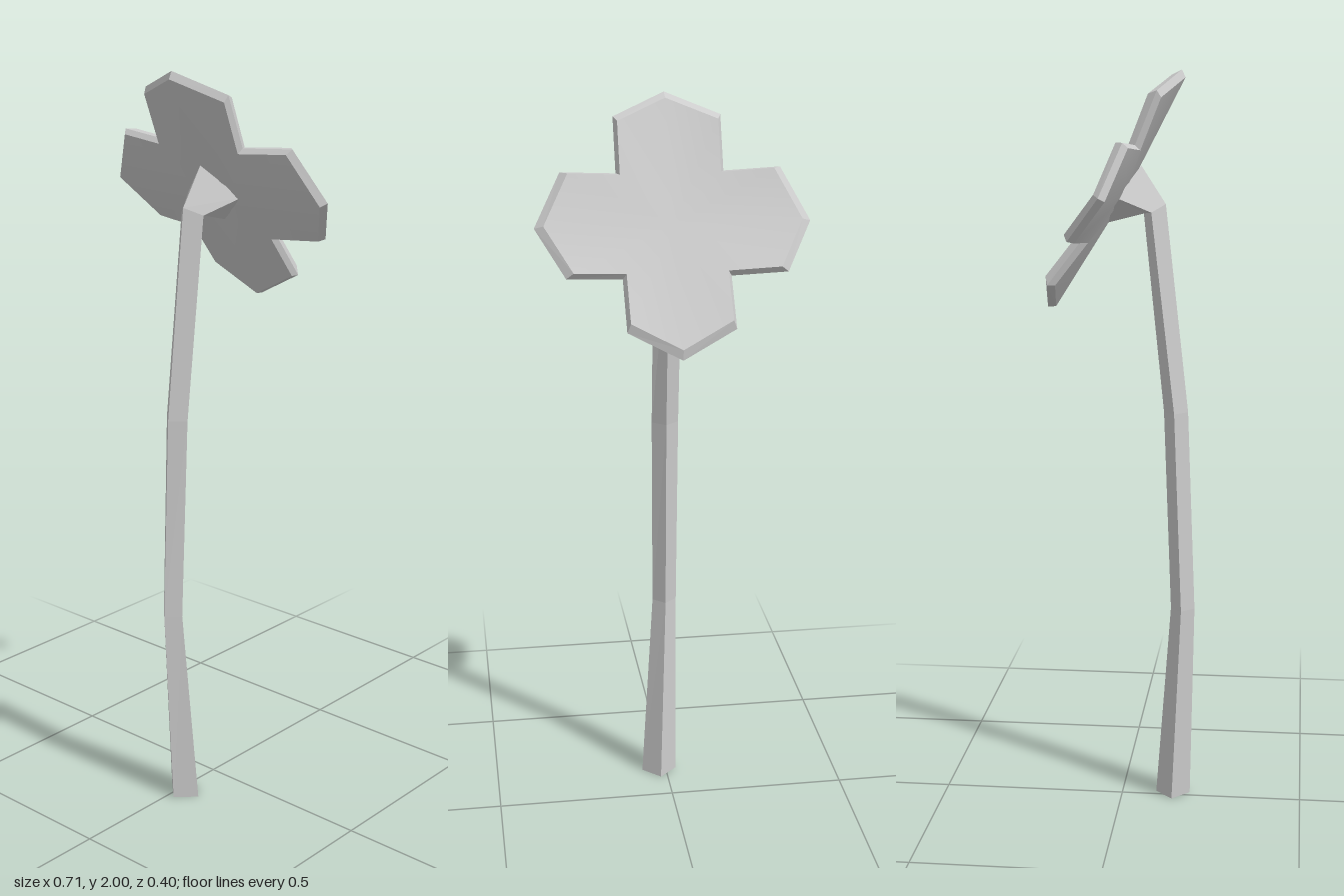
import * as THREE from 'three';

const grey = (flat) => new THREE.MeshStandardMaterial({ color: 0xcccccc, flatShading: flat });

function makeMesh(name, positions, index, flat) {
  let geo = new THREE.BufferGeometry();
  geo.setAttribute('position', new THREE.Float32BufferAttribute(positions, 3));
  geo.setIndex(index);
  if (flat) geo = geo.toNonIndexed();
  geo.computeVertexNormals();
  const mesh = new THREE.Mesh(geo, grey(flat));
  mesh.name = name;
  return mesh;
}

// Side walls joining rings of n points that run anticlockwise about the axis
function wallIndex(rings, n) {
  const index = [];
  for (let r = 0; r < rings - 1; r++) {
    for (let i = 0; i < n; i++) {
      const a = r * n + i, b = r * n + (i + 1) % n;
      index.push(a, b, b + n, a, b + n, a + n);
    }
  }
  return index;
}

// Four-petal outline in the flower's own plane; third value lifts it along the face normal
function petalOutline() {
  const petal = [[0.357, 0, 0], [0.285, 0.14, 0.02], [0.14, 0.14, 0], [0.14, 0.285, 0.02]];
  const pts = [];
  for (let k = 0; k < 4; k++) {
    const c = [1, 0, -1, 0][k], s = [0, 1, 0, -1][k];
    for (const [x, y, h] of petal) pts.push([x * c - y * s, x * s + y * c, h]);
  }
  return pts;
}

function createFlower() {
  const outline = petalOutline(), n = outline.length;
  const ring = (scale, lift) => outline.flatMap(([x, y, h]) => [x * scale, y * scale, h + lift]);
  const back = ring(0.965, -0.018), rim = ring(1, 0), front = ring(0.935, 0.016);
  const fan = (flip) => {
    const index = [];
    for (let i = 0; i < n; i++) {
      const j = (i + 1) % n;
      index.push(n, flip ? j : i, flip ? i : j);
    }
    return index;
  };
  const flower = new THREE.Group();
  flower.name = 'flower';
  flower.add(
    makeMesh('petalFace', [...front, 0, 0, 0], fan(false), false),
    makeMesh('petalBack', [...back, 0, 0, -0.033], fan(true), false),
    makeMesh('petalRim', [...back, ...rim, ...front], wallIndex(3, n), true),
  );
  // Tilt so the face looks up and backwards
  const up = new THREE.Vector3(0, 0.868, 0.497).normalize();
  const normal = new THREE.Vector3(0, 0.497, -0.868).normalize();
  const side = new THREE.Vector3().crossVectors(up, normal);
  flower.quaternion.setFromRotationMatrix(new THREE.Matrix4().makeBasis(side, up, normal));
  flower.position.set(0, 1.69, -0.0225);
  return flower;
}

// Diamond cross-section: front, right, back and left corners
function diamond(x, half, zFront, zBack, zSide, yFront, yBack = yFront, ySide = yFront) {
  return [x, yFront, zFront, x + half, ySide, zSide, x, yBack, zBack, x - half, ySide, zSide];
}

function createStem() {
  const top = diamond(0, 0.038, 0.115, 0.057, 0.08, 1.655, 1.63, 1.635);
  const stem = makeMesh('stem', [
    ...diamond(0.02, 0.05, 0.19, 0.095, 0.142, 0),
    ...diamond(0, 0.034, 0.2, 0.135, 0.165, 0.55),
    ...diamond(0, 0.037, 0.178, 0.113, 0.143, 1.1),
    ...top,
  ], [...wallIndex(4, 4), 0, 2, 1, 0, 3, 2], true);
  // Flared join under the petals
  const calyx = makeMesh('calyx', [
    ...top,
    ...diamond(0, 0.09, 0.05, -0.06, -0.005, 1.755, 1.6, 1.675),
  ], [...wallIndex(2, 4), 4, 5, 6, 4, 6, 7], true);
  return [stem, calyx];
}

export function createModel() {
  const model = new THREE.Group();
  model.name = 'flowerOnStem';
  model.add(createFlower(), ...createStem());
  return model;
}
